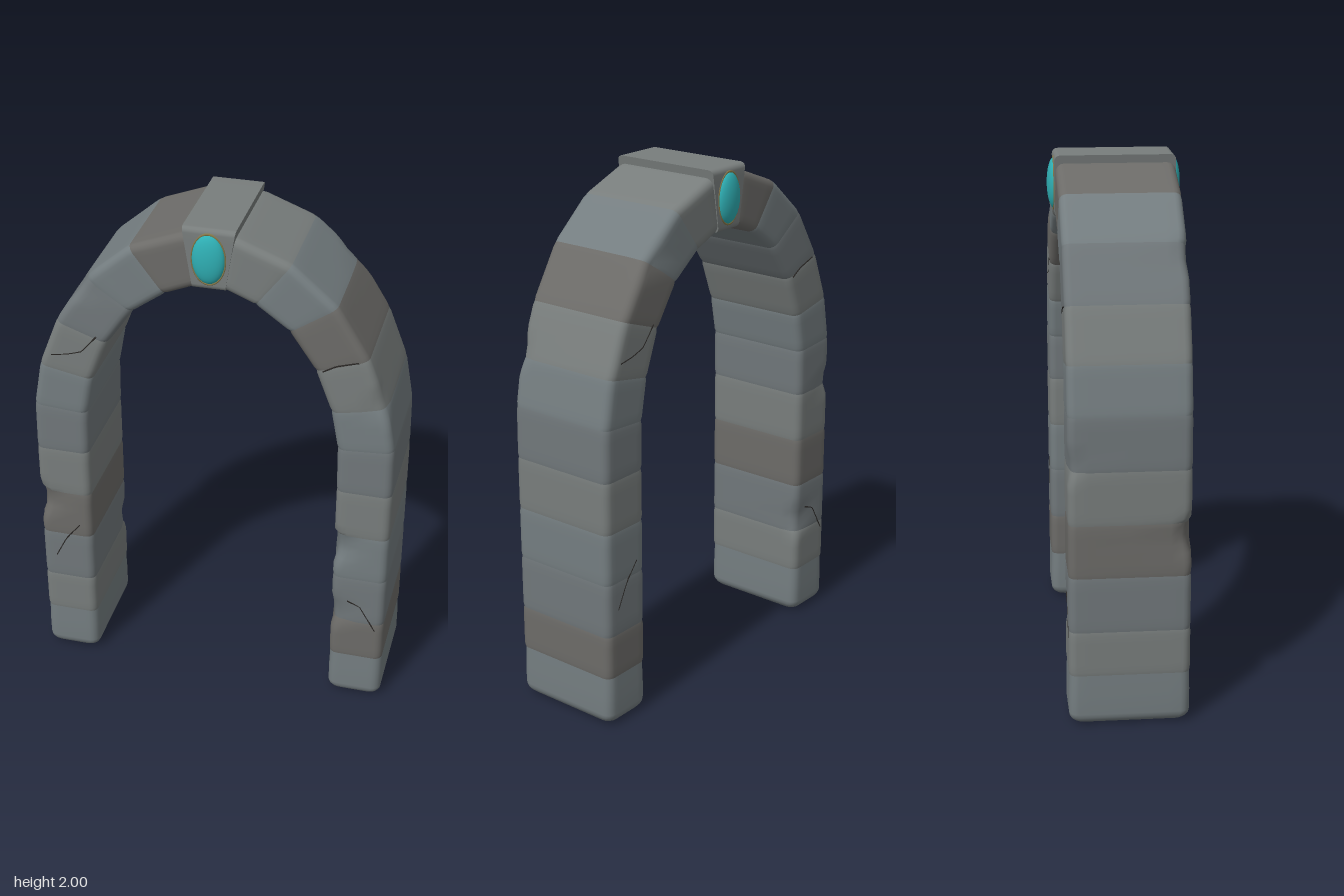
import * as THREE from 'three';

const material = (color) => new THREE.MeshStandardMaterial({ color, side: THREE.DoubleSide });
const V2 = (x, y) => new THREE.Vector2(x, y);

// Joints between stones on the +x half, foot to crown: inner x, y, outer x, y
const JOINTS = [
  [0.485, 0.2, 0.698, 0.2], [0.485, 0.37, 0.698, 0.37], [0.485, 0.58, 0.698, 0.58],
  [0.485, 0.78, 0.698, 0.78], [0.485, 0.98, 0.698, 0.98], [0.482, 1.165, 0.695, 1.18],
  [0.453, 1.32, 0.663, 1.36], [0.39, 1.485, 0.587, 1.555], [0.29, 1.63, 0.466, 1.75],
  [0.165, 1.72, 0.297, 1.895], [0.055, 1.765, 0.095, 1.972],
];

// Chipped spots: x, y, z, radius, depth
const CHIPS = [
  [0.49, 0.72, 0.22, 0.08, 0.025], [0.49, 0.4, 0.22, 0.08, 0.018],
  [-0.7, 0.73, 0.22, 0.08, 0.028], [-0.49, 0.42, -0.22, 0.08, 0.018],
  [0.66, 1.38, 0.22, 0.08, 0.015], [-0.5, 1.72, 0.22, 0.08, 0.014],
  [0.45, 1.76, -0.22, 0.09, 0.015], [-0.69, 1.0, -0.22, 0.07, 0.014],
];

// Rounded rectangle spanning from the inner to the outer point and across the depth
function ring([ix, iy, ox, oy], halfZ, bevel, inset = 0) {
  const centre = V2((ix + ox) / 2, (iy + oy) / 2);
  const across = V2(ox - ix, oy - iy);
  const halfU = across.length() / 2 - inset, hz = halfZ - inset;
  across.normalize();
  const points = [];
  const add = (u, z) => points.push(new THREE.Vector3(centre.x + across.x * u, centre.y + across.y * u, z));
  const corners = [[1, 1], [-1, 1], [-1, -1], [1, -1]];
  corners.forEach(([su, sz], k) => {
    for (let i = 0; i <= 4; i++) {
      const a = (k + i / 4) * Math.PI / 2;
      add(su * (halfU - bevel) + Math.cos(a) * bevel, sz * (hz - bevel) + Math.sin(a) * bevel);
    }
    // Extra points along the flat that follows this corner
    const [nu, nz] = corners[(k + 1) % 4];
    for (const t of [0.12, 0.5, 0.88]) {
      const along = (s, n) => s + (n - s) * t;
      add(k % 2 ? su * halfU : along(su, nu) * (halfU - bevel),
        k % 2 ? along(sz, nz) * (hz - bevel) : sz * hz);
    }
  });
  // Wear the surface away around each chip, towards the core of the stone
  for (const p of points) {
    for (const [x, y, z, radius, depth] of CHIPS) {
      const d = p.distanceTo(new THREE.Vector3(x, y, z));
      if (d >= radius) continue;
      const pull = new THREE.Vector3(centre.x, centre.y, p.z * 0.5).sub(p).normalize();
      p.addScaledVector(pull, depth * (1 - (d / radius) ** 2));
    }
  }
  return points;
}

// Skin over successive rings, optionally closed at either end
function loft(rings, capStart, capEnd) {
  const n = rings[0].length, vertices = rings.flat(), index = [];
  for (let i = 0; i < rings.length - 1; i++) {
    for (let j = 0; j < n; j++) {
      const a = i * n + j, b = i * n + (j + 1) % n;
      index.push(a, a + n, b, b, a + n, b + n);
    }
  }
  const cap = (points, flip) => {
    const start = vertices.length;
    const mid = points.reduce((s, p) => s.add(p), new THREE.Vector3()).divideScalar(n);
    vertices.push(...points, mid);
    for (let j = 0; j < n; j++) {
      const a = start + j, b = start + (j + 1) % n;
      index.push(start + n, flip ? b : a, flip ? a : b);
    }
  };
  if (capStart) cap(rings[0], false);
  if (capEnd) cap(rings[rings.length - 1], true);
  const geometry = new THREE.BufferGeometry().setFromPoints(vertices);
  geometry.setIndex(index);
  geometry.computeVertexNormals();
  return geometry;
}

export function createModel() {
  const group = new THREE.Group();
  group.name = 'stoneArch';
  const add = (geometry, mat, name, parent = group) => {
    const mesh = new THREE.Mesh(geometry, mat);
    mesh.name = name;
    parent.add(mesh);
    return mesh;
  };
  const stones = [0x747d80, 0x787d7c, 0x70777a].map(material);
  const worn = material(0x6c6b68), dark = material(0x2b2826);
  const gold = material(0x85784a), turquoise = material(0x2fb0b5);
  const mirror = ([ix, iy, ox, oy]) => [-ix, iy, -ox, oy];

  for (const side of [1, -1]) {
    const name = side > 0 ? 'left' : 'right';
    const place = (joint) => (side > 0 ? joint : mirror(joint));
    // The path always runs from the +x foot to the -x foot
    const build = (rings, capStart, capEnd) => (side > 0
      ? loft(rings, capStart, capEnd) : loft(rings.reverse(), capEnd, capStart));

    // Foot with a rounded underside
    const foot = [];
    for (let i = 0; i <= 5; i++) {
      const a = i / 5 * Math.PI / 2, r = 0.045, y = r * (1 - Math.sin(a));
      foot.unshift(ring(place([0.485, y, 0.698, y]), 0.222, 0.035, r * (1 - Math.cos(a))));
    }
    foot.sort((a, b) => a[0].y - b[0].y);
    foot.push(ring(place([0.485, 0.12, 0.698, 0.12]), 0.222, 0.035));
    foot.push(ring(place(JOINTS[0]), 0.222, 0.035, 0.002));
    add(build(foot, true, false), stones[0], name + 'Foot');

    // Stones of the leg and the curve, with a shallow seam at each joint
    for (let k = 0; k < JOINTS.length - 1; k++) {
      const rings = [];
      for (const t of [0, 0.08, 0.25, 0.42, 0.58, 0.75, 0.92, 1]) {
        const joint = JOINTS[k].map((v, i) => v + (JOINTS[k + 1][i] - v) * t);
        rings.push(ring(place(joint), 0.222, 0.03, t % 1 === 0 ? 0.002 : 0));
      }
      const tone = (k * 2 + (side > 0 ? 0 : 3)) % 7 === 0 ? worn : stones[(k + 1) % 3];
      add(build(rings, false, k === JOINTS.length - 2), tone, name + 'Stone' + (k + 1));
    }
  }

  // Keystone, wider at the top
  const keyJoint = [0.06, 1.764, 0.097, 2.0];
  const keyRings = [1, 0.5, 0, -0.5, -1].map((t) => ring(
    [keyJoint[0] * t, keyJoint[1], keyJoint[2] * t, keyJoint[3]], 0.224, 0.02));
  add(loft(keyRings, true, true), stones[1], 'keystone');

  // Oval gem in a thin setting on both faces
  for (const side of [1, -1]) {
    const jewel = new THREE.Group();
    jewel.name = side > 0 ? 'frontJewel' : 'backJewel';
    jewel.position.set(0, 1.885, side * 0.22);
    add(new THREE.SphereGeometry(1, 32, 20), turquoise, 'gem', jewel).scale.set(0.061, 0.096, 0.029);
    add(new THREE.TorusGeometry(1, 0.06, 8, 40), gold, 'setting', jewel).scale.set(0.062, 0.097, 0.12);
    group.add(jewel);
  }

  // Thin cracks across the faces
  const cracks = [
    [[0.55, 0.47], [0.6, 0.45], [0.63, 0.4], [0.665, 0.34]],
    [[-0.535, 0.635], [-0.58, 0.58], [-0.6, 0.55], [-0.64, 0.47]],
    [[-0.61, 1.41], [-0.55, 1.42], [-0.49, 1.44], [-0.43, 1.51]],
    [[0.42, 1.49], [0.47, 1.52], [0.55, 1.545]],
  ];
  for (const crack of cracks) {
    for (const side of [1, -1]) {
      const points = crack.map(([x, y]) => new THREE.Vector3(x * side, y, side * 0.2205));
      const path = new THREE.CatmullRomCurve3(points, false, 'catmullrom', 0.1);
      add(new THREE.TubeGeometry(path, 16, 0.003, 5), dark, 'crack');
    }
  }
  return group;
}
